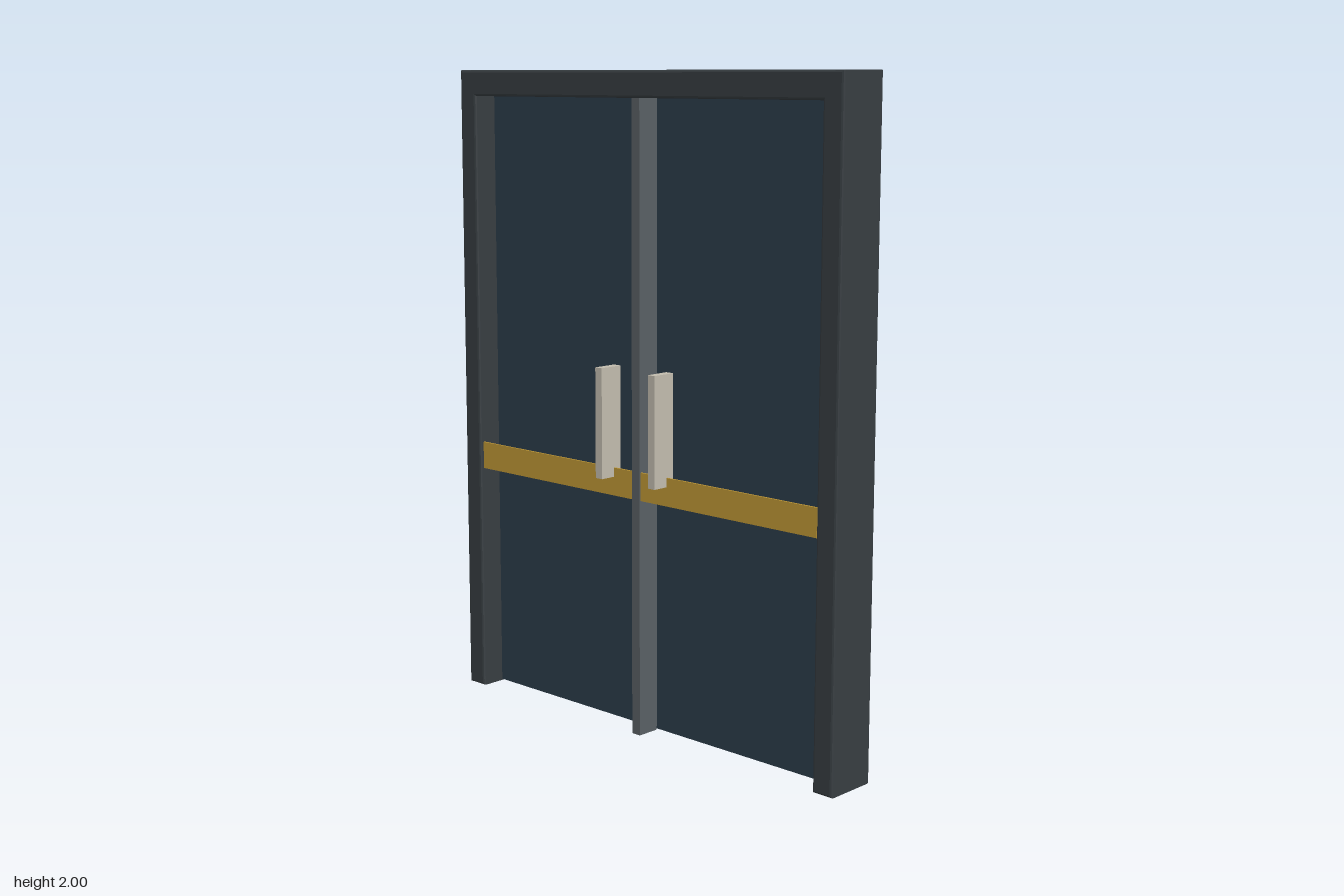
import * as THREE from 'three';

const FRONT = 0.065, BACK = -0.107; // frame depth range
const HALF_W = 0.762, INNER_W = 0.693, TOP = 2, INNER_TOP = 1.92;
const BEVEL = 0.007;

const material = (color) => new THREE.MeshStandardMaterial({ color });

// Box given by its min/max corner along each axis
function addBox(parent, name, mat, [x0, x1], [y0, y1], [z0, z1]) {
  const mesh = new THREE.Mesh(new THREE.BoxGeometry(x1 - x0, y1 - y0, z1 - z0), mat);
  mesh.position.set((x0 + x1) / 2, (y0 + y1) / 2, (z0 + z1) / 2);
  mesh.name = name;
  parent.add(mesh);
}

// Two jambs and a lintel as one bevelled arch, open at the floor
function doorFrame(mat) {
  const o = HALF_W - BEVEL, i = INNER_W + BEVEL;
  const shape = new THREE.Shape([
    [-o, BEVEL], [-i, BEVEL], [-i, INNER_TOP + BEVEL], [i, INNER_TOP + BEVEL],
    [i, BEVEL], [o, BEVEL], [o, TOP - BEVEL], [-o, TOP - BEVEL],
  ].map(([x, y]) => new THREE.Vector2(x, y)));
  const geometry = new THREE.ExtrudeGeometry(shape, {
    depth: FRONT - BACK - 2 * BEVEL,
    bevelSize: BEVEL, bevelThickness: BEVEL, bevelSegments: 2,
  });
  geometry.translate(0, 0, BACK + BEVEL);
  const mesh = new THREE.Mesh(geometry, mat);
  mesh.name = 'doorFrame';
  return mesh;
}

export function createModel() {
  const model = new THREE.Group();
  model.name = 'doubleDoor';

  const frameMat = material(0x373d41);
  const panelMat = material(0x2b3c49);
  const mullionMat = material(0x596064);
  const bandMat = material(0xbf9735);
  const handleMat = material(0xc2bcae);

  model.add(doorFrame(frameMat));

  // Panel set deep in the frame, with the mullion standing in front of it
  addBox(model, 'doorPanel', panelMat, [-INNER_W, INNER_W], [0.004, INNER_TOP], [-0.08, -0.015]);
  addBox(model, 'centreMullion', mullionMat, [-0.016, 0.016], [0, INNER_TOP], [-0.015, 0.06]);

  // Coloured band and pull handle on each leaf
  for (const side of [-1, 1]) {
    const span = (a, b) => (side > 0 ? [a, b] : [-b, -a]);
    const label = side > 0 ? 'left' : 'right';
    addBox(model, label + 'Band', bandMat, span(0.016, 0.688), [0.732, 0.818], [0.05, 0.056]);
    addBox(model, label + 'Handle', handleMat, span(0.095, 0.122), [0.79, 1.127], [0.028, 0.107]);
  }
  return model;
}
